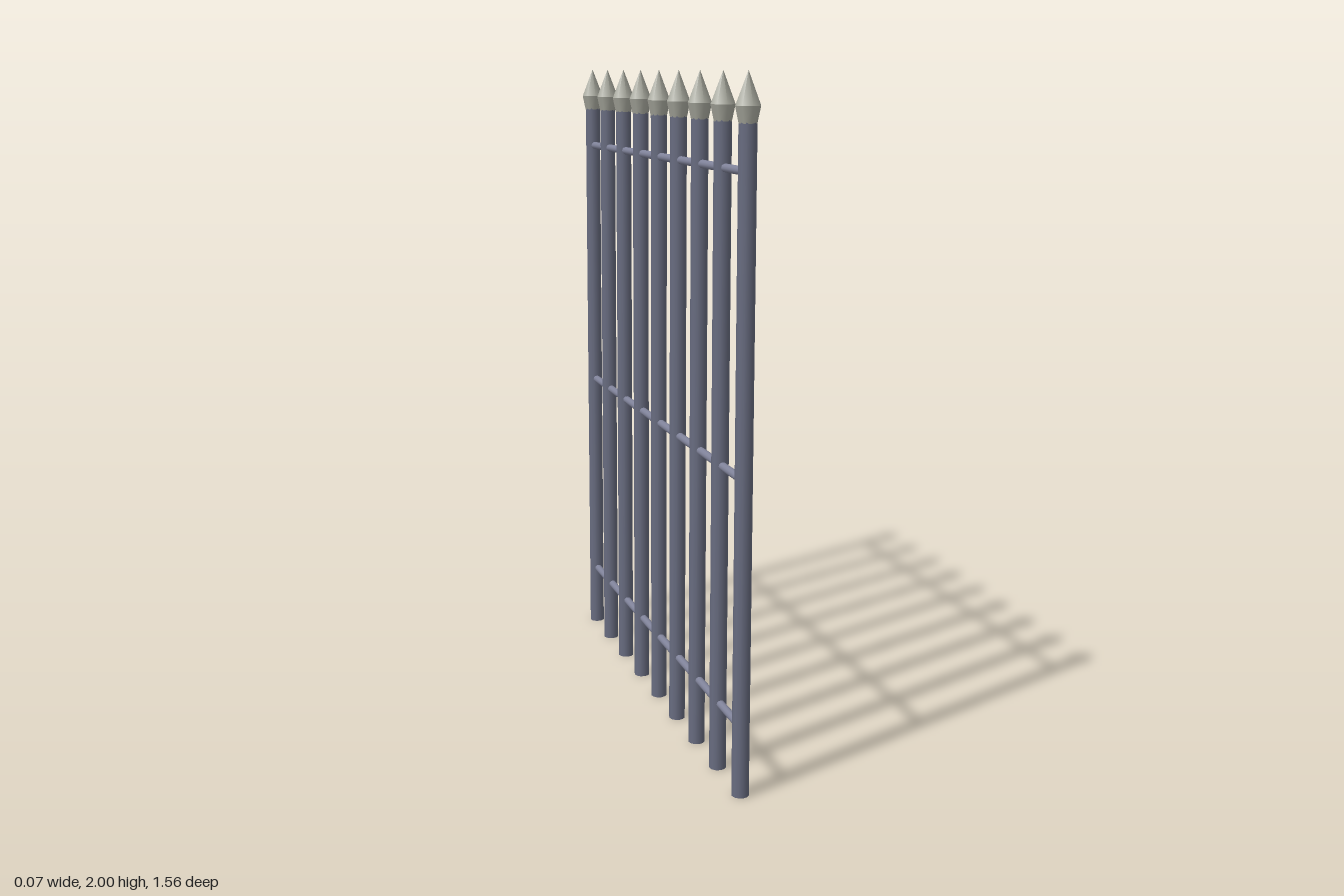
import * as THREE from 'three';

const mat = (name, color) => {
  const m = new THREE.MeshStandardMaterial({ color });
  m.name = name;
  return m;
};

export function createModel() {
  const group = new THREE.Group();
  group.name = 'spikedFence';
  const iron = mat('dark iron', 0x686c80);
  const railIron = mat('rail iron', 0x80839a);
  const steel = mat('grey steel', 0xa8a99e);

  const COUNT = 9, HALF = 0.746;
  const add = (parent, name, geo, material, y) => {
    const mesh = new THREE.Mesh(geo, material);
    mesh.name = name;
    mesh.position.y = y;
    parent.add(mesh);
    return mesh;
  };

  // Shared shapes: bar, flared spike base, spike point
  const barGeo = new THREE.CylinderGeometry(0.025, 0.025, 1.88, 12);
  const baseGeo = new THREE.CylinderGeometry(0.036, 0.026, 0.045, 8);
  const pointGeo = new THREE.ConeGeometry(0.036, 0.09, 8);

  // Upright bars with spear tips
  for (let i = 0; i < COUNT; i++) {
    const post = new THREE.Group();
    post.name = `post${i + 1}`;
    post.position.z = -HALF + (2 * HALF * i) / (COUNT - 1);
    add(post, 'bar', barGeo, iron, 0.94);
    add(post, 'spikeBase', baseGeo, steel, 1.8875);
    add(post, 'spikePoint', pointGeo, steel, 1.955);
    group.add(post);
  }

  // Horizontal rails through the bars
  const railGeo = new THREE.CylinderGeometry(0.012, 0.012, 2 * HALF, 12).rotateX(Math.PI / 2);
  [0.205, 0.915, 1.742].forEach((y, i) => add(group, `rail${i + 1}`, railGeo, railIron, y));

  return group;
}
